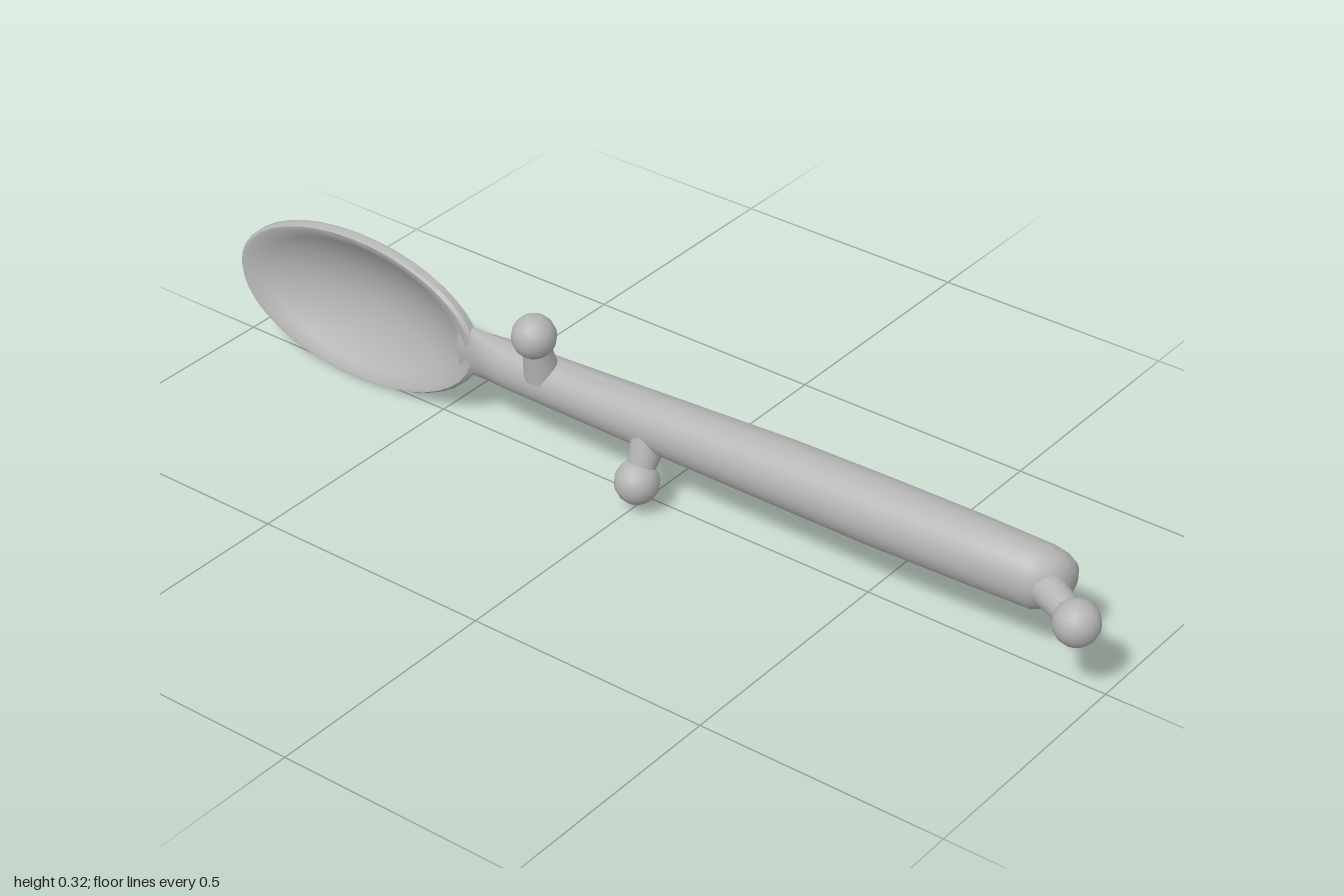
import * as THREE from 'three';
import { toCreasedNormals } from 'three/addons/utils/BufferGeometryUtils.js';

const grey = new THREE.MeshStandardMaterial({ color: 0xb4b4b4 });
grey.name = 'plain grey';

function part(name, geometry) {
  const mesh = new THREE.Mesh(geometry, grey);
  mesh.name = name;
  return mesh;
}

// Elliptical cross-sections [z, centre x, centre y, radius x, radius y], back to front
function loft(sections, sides = 24) {
  const pos = [], idx = [];
  for (const [z, cx, cy, rx, ry] of sections) {
    for (let i = 0; i < sides; i++) {
      const a = (i / sides) * Math.PI * 2;
      pos.push(cx + rx * Math.cos(a), cy + ry * Math.sin(a), z);
    }
  }
  for (let s = 0; s < sections.length - 1; s++) {
    for (let i = 0; i < sides; i++) {
      const j = (i + 1) % sides;
      const a = s * sides + i, b = s * sides + j, c = a + sides, d = b + sides;
      idx.push(a, b, d, a, d, c);
    }
  }
  // end caps
  const last = (sections.length - 1) * sides;
  for (let i = 1; i < sides - 1; i++) {
    idx.push(0, i + 1, i, last, last + i, last + i + 1);
  }
  const g = new THREE.BufferGeometry();
  g.setAttribute('position', new THREE.Float32BufferAttribute(pos, 3));
  g.setIndex(idx);
  return toCreasedNormals(g, 0.8);
}

// Hollow oval bowl: inner face, rim, outer face; open towards -x
function bowlGeometry() {
  const profile = [], steps = 8;
  for (let i = 0; i <= steps; i++) {
    const s = (i / steps) * 0.93;
    profile.push(new THREE.Vector2(s, -0.02 + 0.065 * (1 - (s / 0.93) ** 2)));
  }
  profile.push(new THREE.Vector2(0.975, -0.021), new THREE.Vector2(1, -0.014));
  for (let i = steps; i >= 0; i--) {
    const s = i / steps;
    profile.push(new THREE.Vector2(s, 0.065 * (1 - s * s)));
  }
  const g = new THREE.LatheGeometry(profile, 40);
  g.rotateZ(-Math.PI / 2);
  g.scale(1, 0.161, 0.296);
  g.rotateY(0.025);
  g.translate(0, 0.164, -0.703);
  return toCreasedNormals(g, 0.6);
}

// Ball on a flared stem
function knob(name, base, ball) {
  const group = new THREE.Group();
  group.name = name;
  const from = new THREE.Vector3(...base), to = new THREE.Vector3(...ball);
  const dir = to.clone().sub(from);
  const stem = part('stem', new THREE.CylinderGeometry(0.023, 0.036, dir.length(), 16));
  stem.position.copy(from).add(to).multiplyScalar(0.5);
  stem.quaternion.setFromUnitVectors(new THREE.Vector3(0, 1, 0), dir.normalize());
  const sphere = part('ball', new THREE.SphereGeometry(0.0435, 16, 10));
  sphere.position.copy(to);
  group.add(stem, sphere);
  return group;
}

export function createModel() {
  const model = new THREE.Group();
  model.name = 'spoon';

  model.add(part('handle', loft([
    [-0.45, 0.002, 0.163, 0.013, 0.058],
    [-0.42, 0.002, 0.163, 0.017, 0.052],
    [-0.38, 0.005, 0.163, 0.031, 0.049],
    [-0.33, 0.008, 0.163, 0.044, 0.048],
    [-0.2, 0.01, 0.164, 0.049, 0.05],
    [0.05, 0.014, 0.166, 0.056, 0.057],
    [0.3, 0.018, 0.169, 0.062, 0.063],
    [0.5, 0.02, 0.169, 0.064, 0.065],
    [0.7, 0.024, 0.169, 0.062, 0.064],
    [0.84, 0.027, 0.168, 0.058, 0.062],
    [0.868, 0.034, 0.168, 0.049, 0.053],
    [0.885, 0.041, 0.168, 0.036, 0.039],
    [0.893, 0.045, 0.168, 0.018, 0.02],
  ])));
  model.add(part('bowl', bowlGeometry()));

  model.add(knob('upperKnob', [-0.006, 0.185, -0.245], [-0.029, 0.277, -0.245]));
  model.add(knob('lowerKnob', [-0.008, 0.145, 0.01], [-0.046, 0.066, 0.01]));
  model.add(knob('endKnob', [0.018, 0.166, 0.845], [-0.041, 0.159, 0.956]));

  return model;
}
